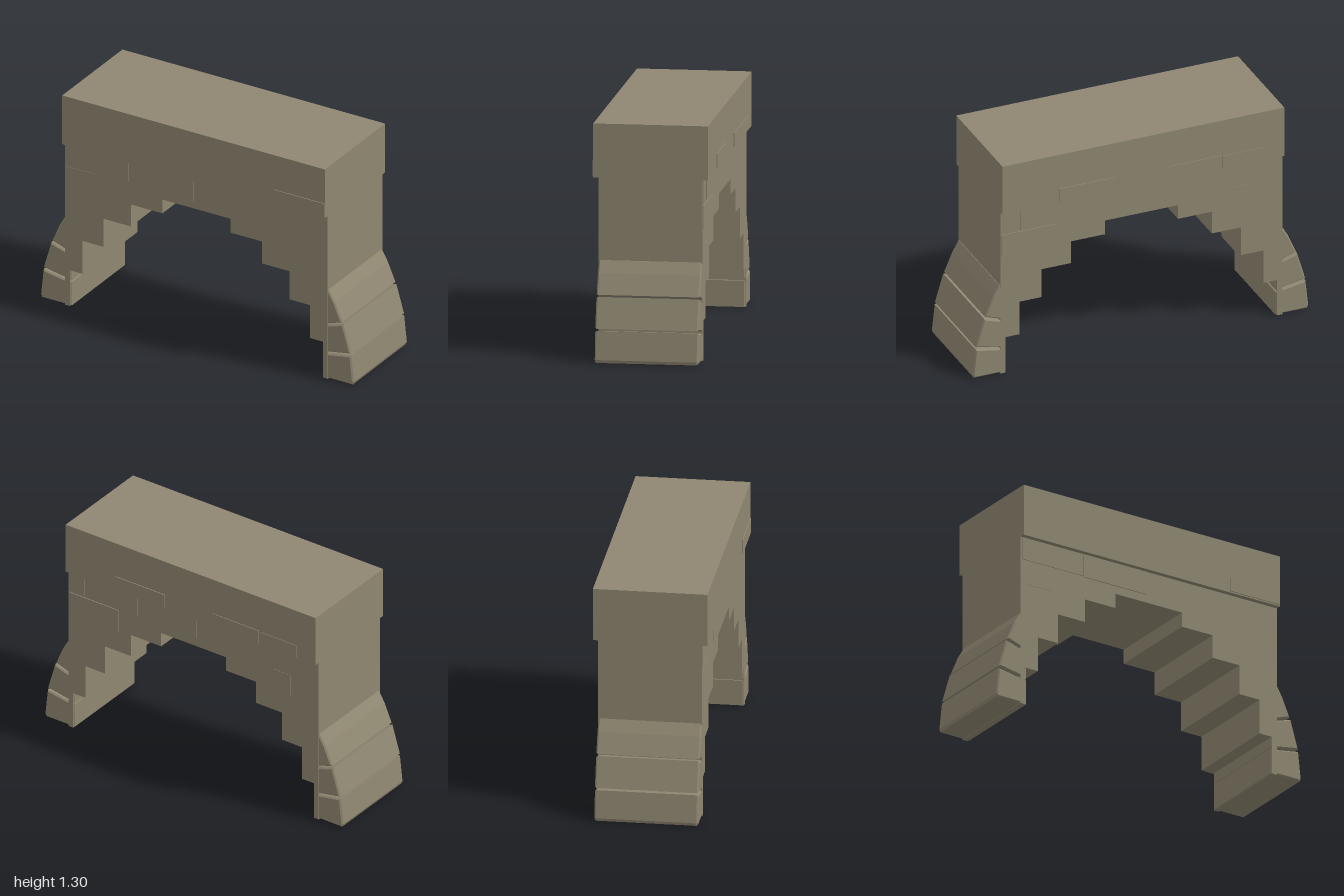
import * as THREE from 'three';

export function createModel() {
  const root = new THREE.Group();
  root.name = 'stoneArch';
  const stone = new THREE.MeshStandardMaterial({ color: 0x8f8771 });
  stone.name = 'weathered stone';

  const add = (name, geometry, x = 0, y = 0, z = 0) => {
    const mesh = new THREE.Mesh(geometry, stone);
    mesh.name = name;
    mesh.position.set(x, y, z);
    root.add(mesh);
    return mesh;
  };
  const toShape = (pts) => new THREE.Shape(pts.map(([x, y]) => new THREE.Vector2(x, y)));

  // Stepped arch wall: [half opening, top of step] from the ground up
  const steps = [[0.807, 0.22], [0.725, 0.422], [0.592, 0.595], [0.418, 0.73], [0.217, 0.815]];
  const half = [[0.837, 1], [0.837, 0]];
  let floor = 0;
  for (const [x, top] of steps) {
    half.push([x, floor], [x, top]);
    floor = top;
  }
  const outline = [...half, ...half.map(([x, y]) => [-x, y]).reverse()];
  const wall = new THREE.ExtrudeGeometry(toShape(outline), { depth: 0.573, bevelEnabled: false });
  add('archWall', wall, -0.002, 0, -0.286);

  // Overhanging top block
  add('capBlock', new THREE.BoxGeometry(1.674, 0.3, 0.631), -0.002, 1.15, 0.0015);

  // Leaning, chamfered footing stones on both sides
  const footings = [
    [[0.8, 0.003], [0.99, 0.003], [0.997, 0.02], [0.98, 0.178], [0.8, 0.147]],
    [[0.8, 0.158], [0.979, 0.19], [0.93, 0.358], [0.8, 0.318]],
    [[0.8, 0.325], [0.924, 0.368], [0.876, 0.48], [0.838, 0.545], [0.8, 0.545]],
  ];
  const bevel = 0.008;
  for (const side of [1, -1]) {
    footings.forEach((pts, i) => {
      const placed = pts.map(([x, y]) => [x * side, y]);
      if (side < 0) placed.reverse();
      const geometry = new THREE.ExtrudeGeometry(toShape(placed), {
        depth: 0.57 - 2 * bevel, bevelEnabled: true, bevelSegments: 1,
        bevelSize: bevel, bevelThickness: bevel, bevelOffset: -bevel,
      });
      add(`${side > 0 ? 'left' : 'right'}Footing${i + 1}`, geometry, 0, 0, -0.284 + bevel);
    });
  }

  // Slightly raised bricks: x range, y range, and outer z
  const bricks = [
    // front
    [-0.83, -0.435, 0.867, 0.998, 0.291], [-0.428, -0.016, 0.862, 0.998, 0.292],
    [-0.832, -0.644, 0.722, 0.855, 0.289], [0.512, 0.832, 1.008, 1.09, 0.322],
    // back
    [0.725, 0.832, 0.87, 0.998, -0.289], [0.375, 0.715, 0.87, 0.998, -0.291],
    [-0.02, 0.365, 0.865, 0.998, -0.288], [0.5, 0.832, 0.725, 0.86, -0.291],
    [-0.65, -0.54, 0.73, 0.855, -0.288],
    [0.17, 0.5, 1.008, 1.09, -0.319], [-0.46, -0.15, 1.008, 1.085, -0.318],
    [-0.71, -0.47, 1.005, 1.08, -0.317],
  ];
  const depth = 0.02;
  for (const [x0, x1, y0, y1, z] of bricks) {
    add('raisedBrick', new THREE.BoxGeometry(x1 - x0, y1 - y0, depth),
      (x0 + x1) / 2, (y0 + y1) / 2, z - Math.sign(z) * depth / 2);
  }
  return root;
}
